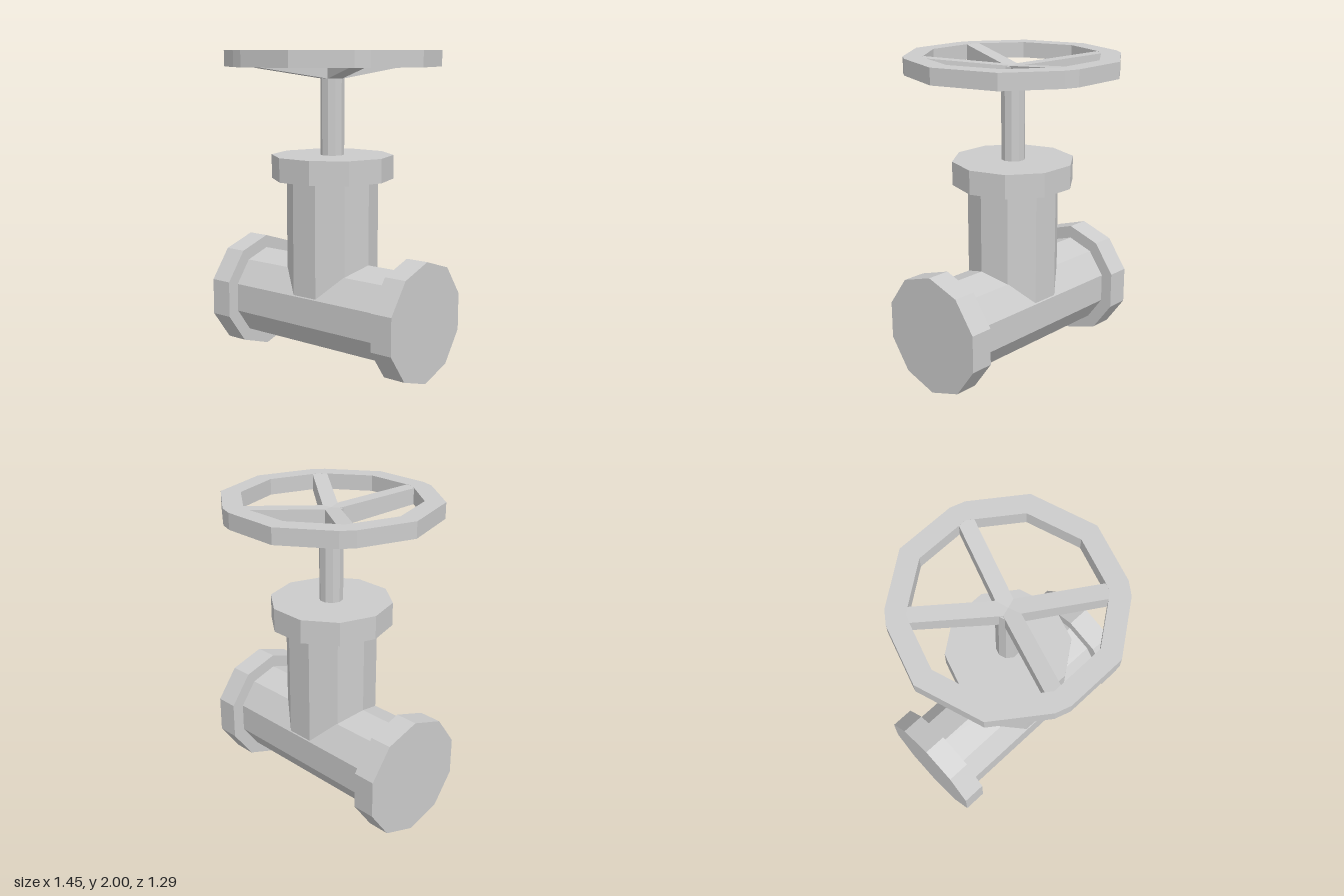
import * as THREE from 'three';

const SIDES = 10;
const material = new THREE.MeshStandardMaterial({ color: 0xcccccc, flatShading: true });

function add(parent, name, geometry) {
  const mesh = new THREE.Mesh(geometry, material);
  mesh.name = name;
  parent.add(mesh);
  return mesh;
}

// Upright ten-sided prism with a corner on the x axis
function prism(radius, y0, y1) {
  return new THREE.CylinderGeometry(radius, radius, y1 - y0, SIDES)
    .rotateY(Math.PI / 2)
    .translate(0, (y0 + y1) / 2, 0);
}

// Ten-sided prism lying along x, with a corner at the top
function lyingPrism(radius, x0, x1, y) {
  return prism(radius, x0, x1).rotateZ(-Math.PI / 2).translate(0, y, 0);
}

function polygonPoints(radius) {
  return Array.from({ length: SIDES }, (_, i) => {
    const a = (i * 2 * Math.PI) / SIDES;
    return new THREE.Vector2(Math.cos(a) * radius, Math.sin(a) * radius);
  });
}

export function createModel() {
  const model = new THREE.Group();
  model.name = 'gateValve';

  // Horizontal pipe with a flange at each end
  const pipeY = 0.381;
  add(model, 'pipe', lyingPrism(0.295, -0.6, 0.6, pipeY));
  add(model, 'leftPipeFlange', lyingPrism(0.379, 0.58, 0.727, pipeY));
  add(model, 'rightPipeFlange', lyingPrism(0.379, -0.727, -0.58, pipeY));

  // Bonnet, its flange and the stem
  add(model, 'bonnet', prism(0.29, pipeY, 1.21));
  add(model, 'bonnetFlange', prism(0.385, 1.2, 1.35));
  add(model, 'stem', prism(0.075, 1.34, 1.82));

  const wheel = new THREE.Group();
  wheel.name = 'handwheel';
  model.add(wheel);
  add(wheel, 'hub', prism(0.075, 1.82, 1.935));

  // Rim: the outer corners that carry a spoke are cut off
  const spokeCorners = [2, 4, 7, 9];
  const corners = polygonPoints(0.678);
  const outline = corners.flatMap((p, i) => {
    if (!spokeCorners.includes(i)) return [p];
    return [corners[(i + SIDES - 1) % SIDES], corners[(i + 1) % SIDES]].map((q) =>
      p.clone().add(q.clone().sub(p).setLength(0.05)));
  });
  const rim = new THREE.Shape(outline);
  rim.holes.push(new THREE.Path(polygonPoints(0.553)));
  add(wheel, 'rim', new THREE.ExtrudeGeometry(rim, { depth: 0.1, bevelEnabled: false })
    .rotateX(-Math.PI / 2)
    .translate(0, 1.9, 0));

  // Spokes dip from the rim down to the hub
  const width = 0.094;
  const profile = new THREE.Shape([
    new THREE.Vector2(0, 1.82),
    new THREE.Vector2(0.02, 1.82),
    new THREE.Vector2(0.553, 1.9),
    new THREE.Vector2(0.553, 2),
    new THREE.Vector2(0, 1.935),
  ]);
  const spoke = new THREE.ExtrudeGeometry(profile, { depth: width, bevelEnabled: false })
    .translate(0, 0, -width / 2);
  for (const i of spokeCorners) {
    add(wheel, 'spoke', spoke).rotation.y = (i * 2 * Math.PI) / SIDES;
  }

  return model;
}
